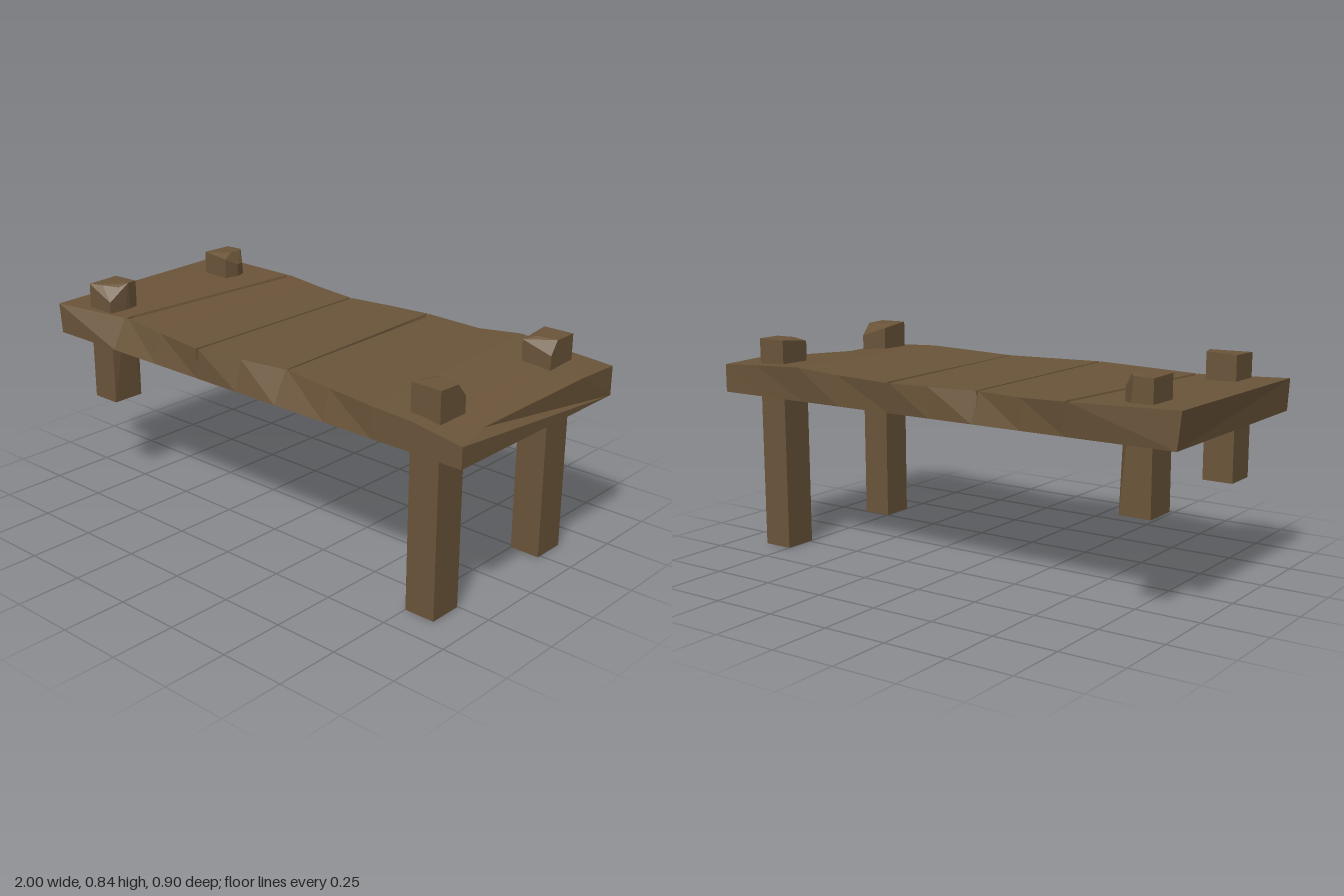
import * as THREE from 'three';
import { ConvexGeometry } from 'three/addons/geometries/ConvexGeometry.js';

const wood = new THREE.MeshStandardMaterial({ color: 0x6b553a });
wood.name = 'weathered wood';
wood.flatShading = true;

const BOTTOM = 0.615;

// One slice across the deck: back edge [x, y, z], front edge [x, y, z]
function slice(back, front, { groove = 0, notch = 0, inFront, inBack } = {}) {
  const b = new THREE.Vector3(...back), f = new THREE.Vector3(...front);
  const along = z => {
    const p = b.clone().lerp(f, (z - b.z) / (f.z - b.z));
    p.y -= groove;
    return p.toArray();
  };
  return [
    [Math.max(b.x, -0.985), BOTTOM, -0.43], [Math.max(f.x, -0.985), BOTTOM, 0.44],
    [f.x, f.y - notch, f.z],
    inFront ?? along(f.z - 0.035), inBack ?? along(b.z + 0.045),
    [b.x, b.y - notch * 0.3, b.z],
  ];
}

// Three slices that form a narrow V groove between planks
function grooveSlices(back, front, wBack, wFront, notch = 0) {
  const shift = (p, d) => [p[0] + d, p[1], p[2]];
  return [-1, 0, 1].map(s => slice(shift(back, s * wBack), shift(front, s * wFront),
    s === 0 ? { groove: 0.04, notch } : {}));
}

function deckGeometry() {
  const slices = [
    slice([-1, 0.748, -0.43], [-0.99, 0.735, 0.445]),
    ...grooveSlices([-0.58, 0.738, -0.452], [-0.655, 0.73, 0.38], 0.012, 0.012),
    slice([-0.39, 0.73, -0.432], [-0.43, 0.73, 0.41]),
    ...grooveSlices([-0.195, 0.73, -0.405], [-0.195, 0.73, 0.44], 0.006, 0.006, 0.07),
    slice([0, 0.73, -0.432], [0, 0.73, 0.41]),
    ...grooveSlices([0.172, 0.73, -0.45], [0.195, 0.73, 0.38], 0.012, 0.004),
    slice([0.42, 0.733, -0.432], [0.42, 0.73, 0.412]),
    slice([0.6, 0.748, -0.45], [0.63, 0.73, 0.44]),
    slice([0.83, 0.735, -0.433], [0.8, 0.722, 0.44]),
    slice([1, 0.725, -0.43], [1, 0.692, 0.44],
      { inFront: [0.962, 0.698, 0.28], inBack: [0.998, 0.73, -0.25] }),
  ];
  const n = slices[0].length, last = slices.length - 1, index = [];
  for (let i = 0; i < last; i++) {
    for (let j = 0; j < n; j++) {
      const a = i * n + j, b = i * n + (j + 1) % n;
      index.push(a, a + n, b, b, a + n, b + n);
    }
  }
  // End caps
  for (let k = 1; k < n - 1; k++) {
    index.push(0, k, k + 1, last * n, last * n + k + 1, last * n + k);
  }
  const indexed = new THREE.BufferGeometry();
  indexed.setAttribute('position', new THREE.Float32BufferAttribute(slices.flat(2), 3));
  indexed.setIndex(index);
  const g = indexed.toNonIndexed();
  g.computeVertexNormals();
  return g;
}

// Square post from y0 upward, finished with a chipped top
function post(name, x0, x1, z0, z1, y0, top) {
  const base = [[x0, y0, z0], [x1, y0, z0], [x1, y0, z1], [x0, y0, z1]];
  const points = [...base, ...top].map(p => new THREE.Vector3(...p));
  const mesh = new THREE.Mesh(new ConvexGeometry(points), wood);
  mesh.name = name;
  return mesh;
}

export function createModel() {
  const group = new THREE.Group();
  group.name = 'plankDock';

  const deck = new THREE.Mesh(deckGeometry(), wood);
  deck.name = 'deck';
  group.add(deck);

  // Long posts on one end, short posts on the other
  group.add(
    post('frontLeftPost', 0.75, 0.87, 0.253, 0.385, 0, [
      [0.75, 0.83, 0.385], [0.87, 0.828, 0.385], [0.87, 0.825, 0.295],
      [0.79, 0.828, 0.285], [0.75, 0.815, 0.253], [0.87, 0.775, 0.253]]),
    post('backLeftPost', 0.75, 0.87, -0.368, -0.235, 0, [
      [0.75, 0.83, -0.368], [0.87, 0.83, -0.368], [0.87, 0.83, -0.27],
      [0.79, 0.83, -0.262], [0.75, 0.815, -0.235], [0.87, 0.78, -0.235]]),
    post('frontRightPost', -0.865, -0.745, 0.253, 0.385, 0.36, [
      [-0.865, 0.832, 0.253], [-0.745, 0.836, 0.253], [-0.735, 0.838, 0.3],
      [-0.75, 0.825, 0.335], [-0.81, 0.828, 0.365], [-0.865, 0.828, 0.385],
      [-0.745, 0.775, 0.385]]),
    post('backRightPost', -0.865, -0.745, -0.368, -0.235, 0.36, [
      [-0.865, 0.83, -0.368], [-0.79, 0.832, -0.368], [-0.77, 0.835, -0.345],
      [-0.742, 0.79, -0.33], [-0.733, 0.79, -0.295], [-0.76, 0.838, -0.28],
      [-0.745, 0.82, -0.235], [-0.865, 0.832, -0.235]]),
  );
  return group;
}
